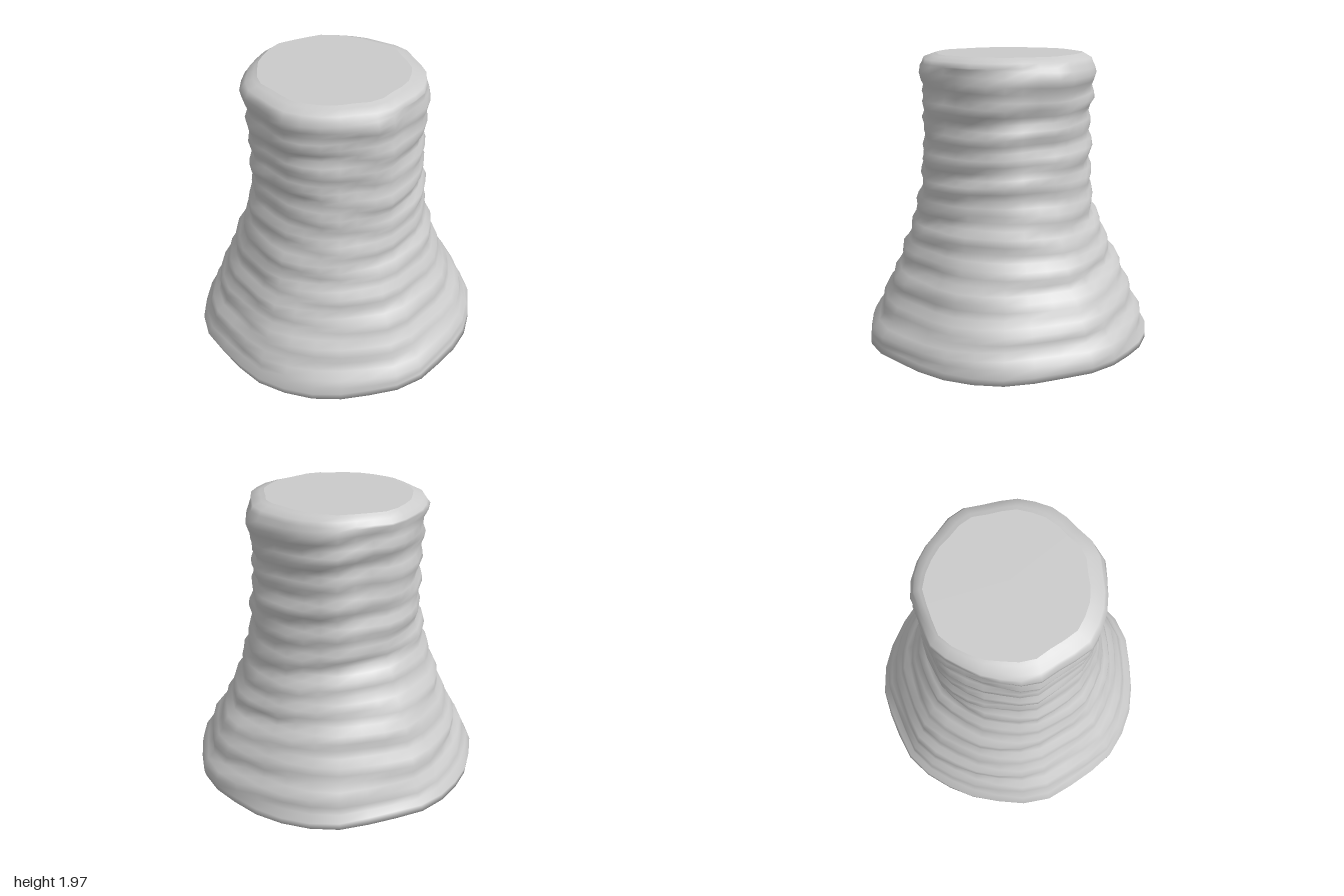
import * as THREE from 'three';

// Height, then radius towards +x, +z, -x, -z
const PROFILE = [
  [0.015, 0.70, 0.70, 0.70, 0.70],
  [0.03, 0.90, 0.90, 0.90, 0.90],
  [0.06, 0.97, 0.97, 0.97, 0.97],
  [0.10, 0.98, 0.97, 0.98, 0.96],
  [0.20, 0.93, 0.93, 0.93, 0.91],
  [0.40, 0.84, 0.82, 0.83, 0.84],
  [0.60, 0.72, 0.73, 0.74, 0.76],
  [0.78, 0.65, 0.66, 0.68, 0.67],
  [1.00, 0.58, 0.60, 0.62, 0.57],
  [1.20, 0.56, 0.58, 0.57, 0.57],
  [1.50, 0.54, 0.56, 0.57, 0.56],
  [1.62, 0.54, 0.56, 0.57, 0.56],
  [1.75, 0.57, 0.57, 0.58, 0.57],
  [1.90, 0.58, 0.57, 0.60, 0.58],
  [1.95, 0.55, 0.55, 0.58, 0.56],
  [1.98, 0.46, 0.46, 0.49, 0.52],
];
const SEGMENTS = 32;

// Radius at a height and angle, blended between the four directions
function baseRadius(y, angle) {
  let i = 1;
  while (i < PROFILE.length - 1 && PROFILE[i][0] < y) i++;
  const lo = PROFILE[i - 1], hi = PROFILE[i];
  const t = THREE.MathUtils.clamp((y - lo[0]) / (hi[0] - lo[0]), 0, 1);
  const r = [1, 2, 3, 4].map(k => THREE.MathUtils.lerp(lo[k], hi[k], t));
  const c = Math.cos(angle), s = Math.sin(angle);
  return c * c * (c > 0 ? r[0] : r[2]) + s * s * (s > 0 ? r[1] : r[3]);
}

// Tilted folds wrapping round the body, broken up by shallow lumps
function folds(y, a) {
  const fade = THREE.MathUtils.smoothstep(y, 0.03, 0.12) * (1 - THREE.MathUtils.smoothstep(y, 1.88, 1.98));
  const fold = Math.sin(38 * y + 1.6 * Math.sin(a + 0.6) + 0.9 * Math.sin(3 * a + 2 * y));
  const lump = Math.sin(5 * a + 9 * y) * Math.sin(13 * y - 2 * a);
  return fade * (0.013 * fold + 0.011 * lump);
}

function ringHeights() {
  const heights = [0.015, 0.03, 0.06, 0.10];
  for (let y = 0.145; y < 1.9; y += 0.045) heights.push(y);
  return heights.concat([1.92, 1.95, 1.97, 1.98]);
}

function ringPoint(y, j) {
  const a = (j / SEGMENTS) * Math.PI * 2;
  const r = baseRadius(y, a) + folds(y, a) + 0.008 * Math.sin(7 * a + 1) + 0.006 * Math.sin(11 * a);
  const sway = y > 0.12 && y < 1.9 ? 0.012 * Math.sin(2 * a + 6 * y) : 0;
  const sag = y < 0.12 ? 0.01 * Math.sin(4 * a + 1) : 0;
  return [r * Math.cos(a), y + sway + sag, r * Math.sin(a)];
}

function makeGeometry(points, index) {
  const geometry = new THREE.BufferGeometry();
  geometry.setAttribute('position', new THREE.Float32BufferAttribute(points.flat(), 3));
  geometry.setIndex(index);
  geometry.computeVertexNormals();
  return geometry;
}

// Flat end cap fanned from its centre
function makeCap(ringY, centreY, up) {
  const points = [[0, centreY, 0]], index = [];
  for (let j = 0; j < SEGMENTS; j++) {
    points.push(ringPoint(ringY, j));
    const a = j + 1, b = ((j + 1) % SEGMENTS) + 1;
    index.push(0, ...(up ? [b, a] : [a, b]));
  }
  return makeGeometry(points, index);
}

export function createModel() {
  const group = new THREE.Group();
  group.name = 'flaredColumn';
  const material = new THREE.MeshStandardMaterial({ color: 0xcccccc, roughness: 0.9 });
  const add = (name, geometry) => {
    const mesh = new THREE.Mesh(geometry, material);
    mesh.name = name;
    group.add(mesh);
  };

  // Folded body, flaring from neck to foot
  const heights = ringHeights(), points = [], index = [];
  heights.forEach((y, i) => {
    for (let j = 0; j < SEGMENTS; j++) {
      points.push(ringPoint(y, j));
      if (i === 0) continue;
      const n = (j + 1) % SEGMENTS;
      const a = (i - 1) * SEGMENTS + j, b = (i - 1) * SEGMENTS + n;
      const c = i * SEGMENTS + j, d = i * SEGMENTS + n;
      index.push(a, c, b, b, c, d);
    }
  });
  add('foldedBody', makeGeometry(points, index));

  // Flat top and underside
  add('topFace', makeCap(1.98, 1.98, true));
  add('underside', makeCap(0.015, 0.01, false));
  return group;
}
